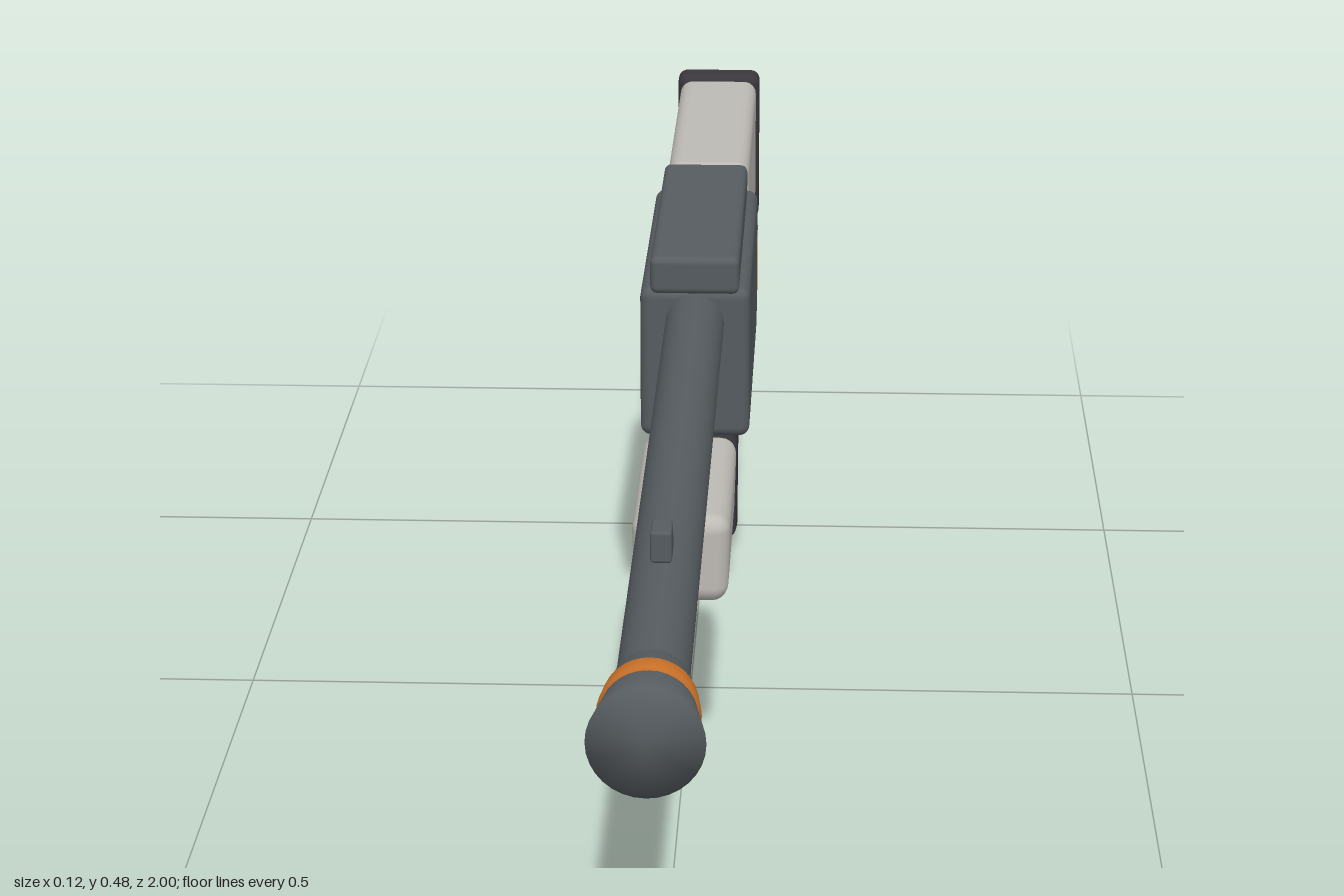
import * as THREE from 'three';
import { RoundedBoxGeometry } from 'three/addons/geometries/RoundedBoxGeometry.js';

const material = (name, color) => {
  const m = new THREE.MeshStandardMaterial({ color });
  m.name = name;
  return m;
};

export function createModel() {
  const gunmetal = material('gunmetal', 0x565c60);
  const black = material('black polymer', 0x39373c);
  const pale = material('pale grey', 0xbdbab4);
  const orange = material('orange', 0xcf7429);
  const model = new THREE.Group();

  const add = (name, geometry, mat) => {
    const mesh = new THREE.Mesh(geometry, mat);
    mesh.name = name;
    model.add(mesh);
    return mesh;
  };

  // Rounded box given by half width and its y and z ranges
  const box = (name, mat, halfX, [y0, y1], [z0, z1], radius) => {
    const g = new RoundedBoxGeometry(halfX * 2, y1 - y0, z1 - z0, 3, radius);
    const mesh = add(name, g, mat);
    mesh.position.set(0, (y0 + y1) / 2, (z0 + z1) / 2);
    return mesh;
  };

  // Round part along z from [radius, z] points, ordered back to front
  const turned = (name, mat, y, points) => {
    const g = new THREE.LatheGeometry(points.map(([r, z]) => new THREE.Vector2(r, z)), 32);
    g.rotateX(Math.PI / 2);
    add(name, g, mat).position.y = y;
  };

  // Receiver and top rail
  box('receiver', gunmetal, 0.062, [0.26, 0.437], [-0.515, -0.115], 0.012);
  box('topRail', gunmetal, 0.05, [0.434, 0.477], [-0.485, -0.105], 0.008);
  box('triggerHousing', gunmetal, 0.03, [0.22, 0.27], [-0.425, -0.285], 0.006);
  box('trigger', pale, 0.008, [0.23, 0.265], [-0.268, -0.252], 0.003);

  // Barrel, magazine tube and flared muzzle
  const barrelY = 0.397;
  turned('barrel', gunmetal, barrelY, [[0.033, -0.13], [0.033, 0.9]]);
  turned('magazineTube', gunmetal, 0.317, [[0.022, -0.13], [0.022, 0.75], [0, 0.75]]);
  turned('muzzleCollar', gunmetal, barrelY, [[0.03, 0.882], [0.036, 0.883], [0.042, 0.93]]);
  turned('muzzle', gunmetal, barrelY, [[0.04, 0.925], [0.052, 1], [0, 1]]);
  turned('muzzleBand', orange, barrelY, [[0.038, 0.914], [0.0425, 0.915], [0.046, 0.943], [0.041, 0.944]]);
  box('frontSight', gunmetal, 0.01, [0.443, 0.474], [0.676, 0.71], 0.003);

  // Fore-end, slightly narrower towards the bottom
  const foreEnd = box('foreEnd', pale, 0.052, [0.219, 0.316], [0.02, 0.278], 0.018);
  const p = foreEnd.geometry.attributes.position;
  for (let i = 0; i < p.count; i++) p.setX(i, p.getX(i) * (0.97 + p.getY(i) * 0.6));

  // Stock, collar and butt pad
  box('stockCollar', orange, 0.061, [0.281, 0.376], [-0.587, -0.505], 0.006);
  box('stock', pale, 0.05, [0.288, 0.454], [-0.965, -0.556], 0.016);
  box('buttPad', black, 0.054, [0.26, 0.46], [-1, -0.957], 0.012);

  // Pistol grip, raked with its foot forward
  const grip = box('pistolGrip', black, 0.04, [0.009, 0.275], [-0.523, -0.431], 0.014);
  grip.rotation.x = -0.29;

  // Foot of the grip rests on y = 0
  const lowest = new THREE.Box3().setFromObject(grip, true).min.y;
  grip.position.y -= lowest;
  return model;
}
